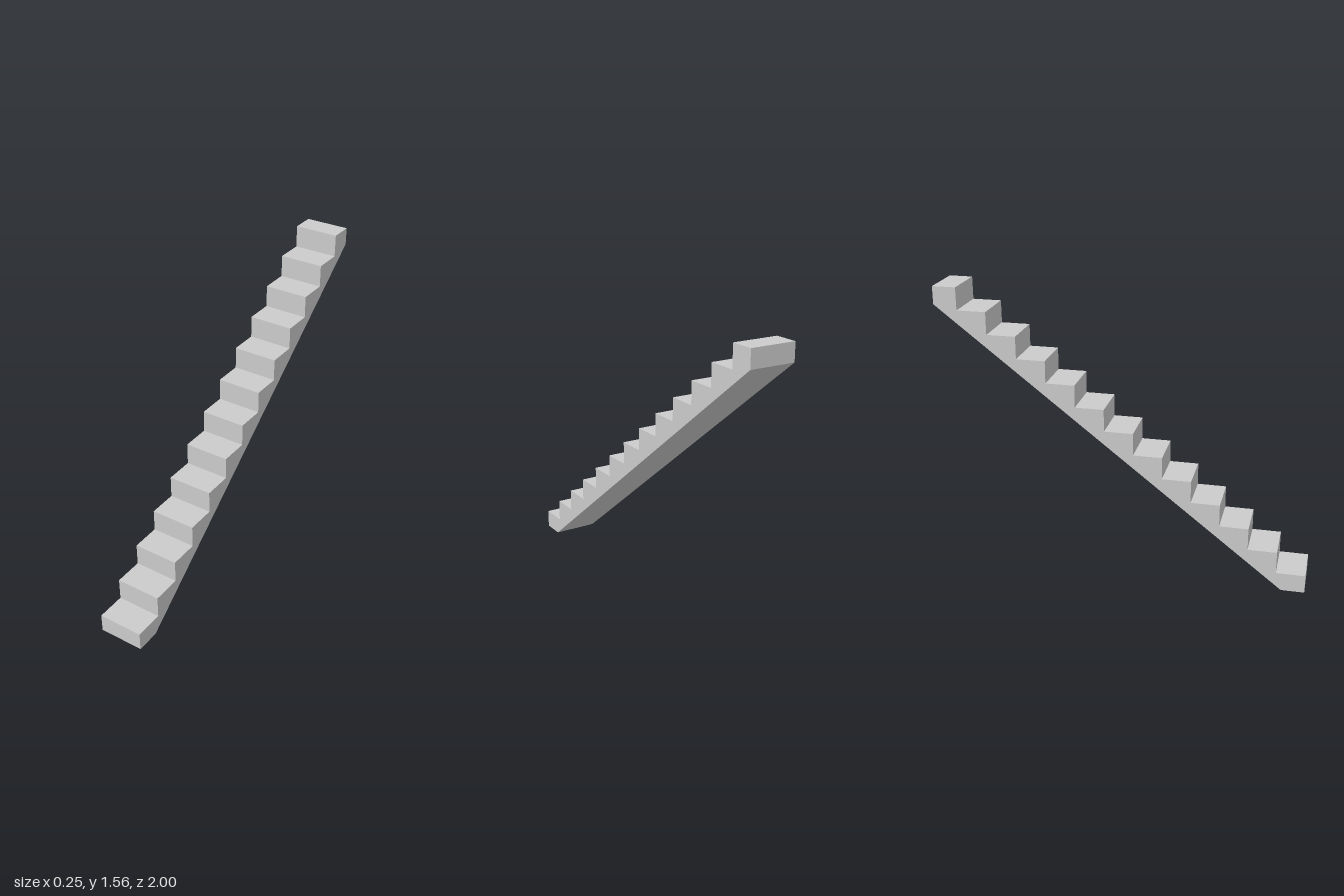
import * as THREE from 'three';

export function createModel() {
  const group = new THREE.Group();
  const steps = 13, run = 0.1561, firstTop = 0.1, topY = 1.556, width = 0.245;
  const rise = (topY - firstTop) / (steps - 1);

  // Side profile: x runs from the foot (-1) to the head (+1) of the flight
  const profile = new THREE.Shape();
  profile.moveTo(-0.875, 0);
  profile.lineTo(1, 1.46);
  profile.lineTo(1, topY);
  // Treads and risers, from the top step down
  for (let i = steps - 1; i >= 0; i--) {
    const front = -1 + i * run;
    profile.lineTo(front, firstTop + i * rise);
    profile.lineTo(front, i > 0 ? firstTop + (i - 1) * rise : 0);
  }
  profile.closePath();

  // Extrude across the width, then turn the foot to face the front
  const geometry = new THREE.ExtrudeGeometry(profile, { depth: width, bevelEnabled: false });
  geometry.translate(0, 0, -width / 2);
  geometry.rotateY(Math.PI / 2);

  const stairs = new THREE.Mesh(
    geometry,
    new THREE.MeshStandardMaterial({ color: 0xcccccc, flatShading: true })
  );
  stairs.name = 'stairFlight';
  group.add(stairs);
  return group;
}
